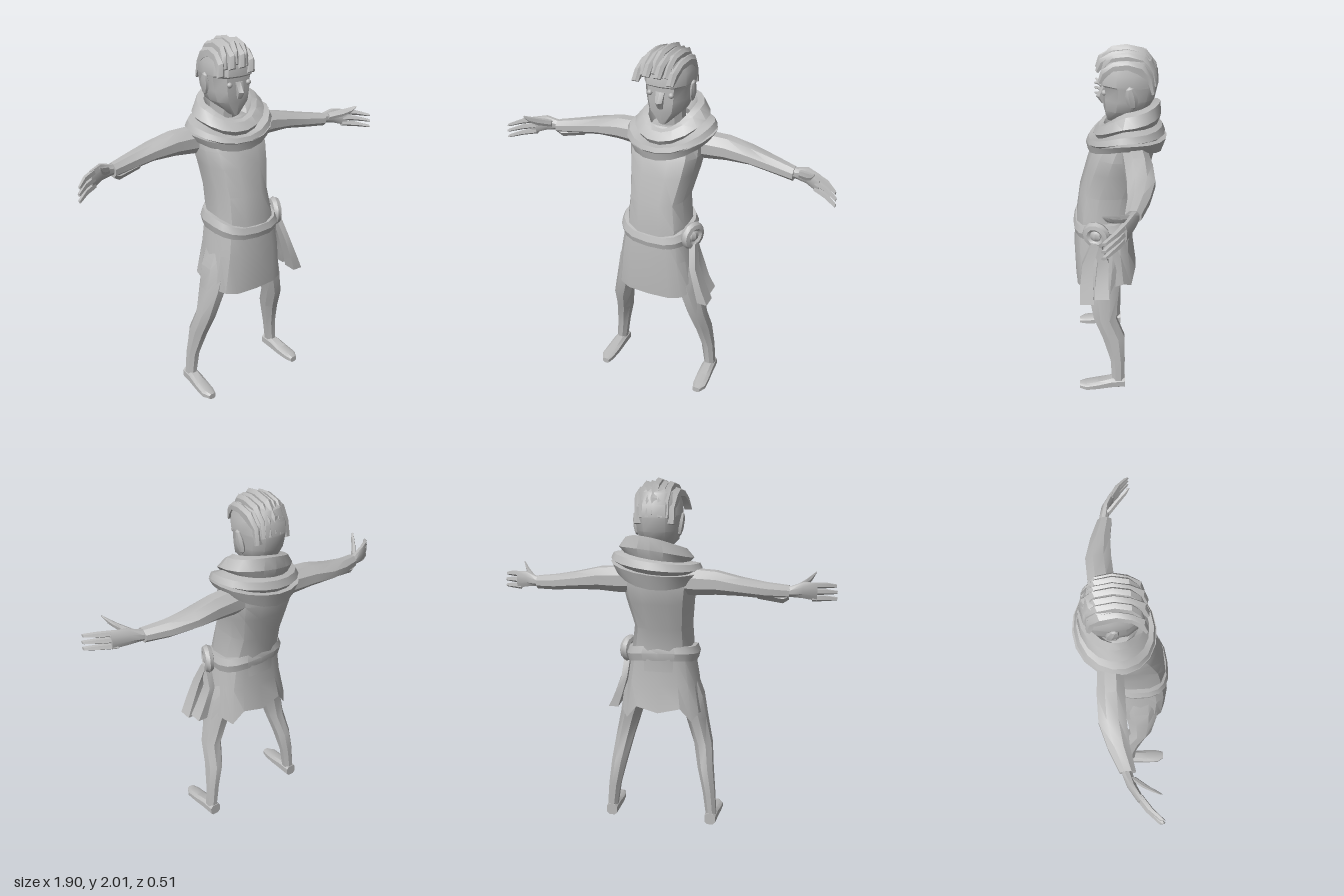
import * as THREE from 'three';
import { toCreasedNormals } from 'three/addons/utils/BufferGeometryUtils.js';

const grey = new THREE.MeshStandardMaterial({ color: 0xbababa, side: THREE.DoubleSide });
grey.name = 'plain grey';

// Skin a list of rings (arrays of Vector3) with optional end caps, facing outward
function skin(rings, caps = true, crease = 0.6) {
  const n = rings[0].length, pts = rings.flat(), tris = [];
  for (let r = 0; r < rings.length - 1; r++) {
    for (let i = 0; i < n; i++) {
      const j = (i + 1) % n, a = r * n, b = a + n;
      tris.push([a + i, a + j, b + j], [a + i, b + j, b + i]);
    }
  }
  if (caps) {
    const mid = ring => ring.reduce((s, p) => s.add(p), new THREE.Vector3()).divideScalar(n);
    const last = (rings.length - 1) * n, c0 = pts.push(mid(rings[0])) - 1, c1 = pts.push(mid(rings.at(-1))) - 1;
    for (let i = 0; i < n; i++) {
      const j = (i + 1) % n;
      tris.push([c0, j, i], [c1, last + i, last + j]);
    }
  }
  const centre = pts.reduce((s, p) => s.add(p), new THREE.Vector3()).divideScalar(pts.length);
  const rel = pts.map(p => p.clone().sub(centre));
  const volume = tris.reduce((v, [a, b, c]) => v + rel[a].dot(rel[b].clone().cross(rel[c])), 0);
  const order = volume < 0 ? tris.map(([a, b, c]) => [a, c, b]) : tris;
  const geo = new THREE.BufferGeometry().setFromPoints(order.flat().map(i => pts[i]));
  return toCreasedNormals(geo, crease);
}

// Limb-like solid: rows of [x, y, z, radiusA, radiusB] in planes across the given axis
function limb(rows, n, axis, power = 1, crease = 0.6) {
  const rings = rows.map(([x, y, z, a, b]) => Array.from({ length: n }, (_, i) => {
    const t = (i + 0.5) / n * Math.PI * 2, c = Math.cos(t), s = Math.sin(t);
    const u = a * Math.sign(c) * Math.abs(c) ** power, v = b * Math.sign(s) * Math.abs(s) ** power;
    if (axis === 'x') return new THREE.Vector3(x, y + u, z + v);
    if (axis === 'y') return new THREE.Vector3(x + u, y, z + v);
    return new THREE.Vector3(x + u, y + v, z);
  }));
  return skin(rings, true, crease);
}

// Cloth hoop: rows of [radiusX, zFront, zBack, y, dropFront, dropBack]
function hoop(rows, n, tilt, cx, power = 1) {
  const rings = rows.map(([rx, zf, zb, y, df, db]) => Array.from({ length: n }, (_, i) => {
    const t = i / n * Math.PI * 2, c = Math.cos(t), s = Math.sin(t);
    const drop = (c > 0 ? df : db) * Math.abs(c) ** 1.5;
    return new THREE.Vector3(cx + rx * Math.sign(s) * Math.abs(s) ** power, y - drop + tilt * s,
      (zf + zb) / 2 + (zf - zb) / 2 * Math.sign(c) * Math.abs(c) ** power);
  }));
  return skin(rings, false, 0.5);
}

export function createModel() {
  const model = new THREE.Group();
  model.name = 'figure';
  const add = (name, geo, parent = model) => {
    const mesh = new THREE.Mesh(geo, grey);
    mesh.name = name;
    parent.add(mesh);
    return mesh;
  };

  // Head from a shield-shaped outline: rows of [y, halfWidth, zFront, zBack]
  const half = [[0, 1], [0.6, 0.965], [0.96, 0.74], [1, 0.45], [0.88, 0.2], [0.5, 0.04], [0, 0]];
  const outline = [...half, ...half.slice(1, -1).reverse().map(([u, v]) => [-u, v])];
  add('head', skin([
    [1.605, 0.02, 0.055, -0.06], [1.68, 0.1, 0.073, -0.16], [1.74, 0.115, 0.076, -0.195],
    [1.812, 0.122, 0.076, -0.21], [1.822, 0.124, 0.09, -0.21], [1.88, 0.12, 0.085, -0.205],
    [1.94, 0.1, 0.06, -0.175], [1.97, 0.055, 0.01, -0.12],
  ].map(([y, w, f, b]) => outline.map(([u, v]) => new THREE.Vector3(u * w, y, b + (f - b) * v)))));
  add('neck', limb([[0, 1.48, -0.08, 0.08, 0.08], [0, 1.7, -0.06, 0.075, 0.08]], 10, 'y'));
  add('nose', limb([[0, 1.79, 0.07, 0.028, 0.012], [0, 1.738, 0.08, 0.022, 0.033],
    [0, 1.7, 0.07, 0.016, 0.015]], 6, 'y'));
  for (const s of [-1, 1]) {
    const eye = add('eye', new THREE.SphereGeometry(0.015, 10, 6));
    eye.position.set(s * 0.06, 1.778, 0.07);
    const ear = add('ear', toCreasedNormals(new THREE.SphereGeometry(1, 7, 5), 0.6));
    ear.scale.set(0.016, 0.065, 0.032);
    ear.position.set(s * 0.122, 1.77, -0.065);
    ear.rotation.set(0.2, 0, -s * 0.12);
  }

  // Swept hair locks running from forehead to nape
  const sweep = [[1.875, 0.108, 0.01], [1.925, 0.085, 0.017], [1.965, 0.03, 0.02], [1.976, -0.05, 0.022],
    [1.955, -0.125, 0.022], [1.9, -0.18, 0.02], [1.82, -0.2, 0.012]];
  for (let k = 0; k < 7; k++) {
    const x = (k - 3) * 0.032, fall = 4.2 * x * x, alt = k % 2 * 0.01;
    add('hairLock', skin(sweep.map(([y, z, r], i) => {
      const lean = i < 3 ? -0.012 * (3 - i) : 0, zz = z * (1 - 12 * x * x) - alt * (i < 2 ? 2 : 0);
      const cx = x * (i > 4 ? 0.9 : 1) + lean, cy = y - fall + alt;
      const ny = i < 1 ? 0.5 : i < 5 ? 1 : 0.3, nz = i < 2 ? 0.7 : i > 3 ? -0.8 : 0;
      return [[-1, -1], [-0.8, 0.5], [0.3, 1], [1, 0.2], [1, -1]].map(([u, v]) =>
        new THREE.Vector3(cx + u * 0.021, cy + v * r * ny, zz + v * r * nz));
    }), true, 0.5));
  }

  // Folded cowl around the neck
  add('cowl', hoop([
    [0.1, 0.05, -0.14, 1.6, 0.06, -0.03], [0.13, 0.075, -0.18, 1.68, 0.09, -0.03],
    [0.165, 0.1, -0.22, 1.67, 0.09, -0.045], [0.205, 0.13, -0.227, 1.62, 0.08, -0.03],
    [0.185, 0.115, -0.21, 1.6, 0.085, 0], [0.235, 0.155, -0.235, 1.59, 0.075, 0],
    [0.25, 0.165, -0.25, 1.56, 0.07, 0.01], [0.215, 0.14, -0.23, 1.545, 0.075, 0.02],
    [0.25, 0.17, -0.26, 1.545, 0.055, 0.02], [0.225, 0.16, -0.235, 1.505, 0.06, 0.06],
    [0.15, 0.09, -0.17, 1.5, 0.03, 0.04],
  ], 18, 0.025, 0.015));

  // Tunic body, leaning back toward the shoulders
  add('tunic', limb([
    [0, 0.95, 0.075, 0.18, 0.165], [0, 1.06, 0.07, 0.175, 0.162], [-0.008, 1.2, 0.045, 0.16, 0.167],
    [0, 1.35, 0, 0.185, 0.17], [0, 1.44, -0.025, 0.2, 0.166], [0, 1.53, -0.05, 0.195, 0.14],
    [0, 1.58, -0.06, 0.11, 0.09],
  ], 12, 'y', 0.75));

  // Skirt with an uneven hem that is longest in front and at the tails
  const hem = [0.64, 0.64, 0.645, 0.66, 0.67, 0.69, 0.66, 0.74, 0.71, 0.74, 0.66, 0.7, 0.68, 0.665, 0.65, 0.64];
  const skirtRing = (rx, zf, zb, height) => hem.map((h, i) => {
    const t = i / hem.length * Math.PI * 2, c = Math.cos(t), s = Math.sin(t);
    return new THREE.Vector3(rx * Math.sign(s) * Math.abs(s) ** 0.65, height ?? h,
      (zf + zb) / 2 + (zf - zb) / 2 * Math.sign(c) * Math.abs(c) ** 0.65);
  });
  add('skirt', skin([skirtRing(0.18, 0.235, -0.085, 1.02), skirtRing(0.205, 0.25, -0.085, 0.87),
    skirtRing(0.235, 0.245, -0.105)], false, 0.5));

  // Belt, higher at the back
  add('belt', hoop([
    [0.165, 0.22, -0.07, 1.07, 0.04, -0.03], [0.195, 0.24, -0.09, 1.07, 0.045, -0.03],
    [0.21, 0.252, -0.1, 1.03, 0.04, -0.03], [0.2, 0.245, -0.09, 0.985, 0.025, -0.03],
    [0.165, 0.22, -0.07, 0.985, 0.025, -0.03],
  ], 18, -0.01, 0, 0.75));

  // Round belt knot and hanging sash ends on the left hip
  const knot = new THREE.Group();
  knot.name = 'beltKnot';
  knot.position.set(0.215, 1.02, 0.125);
  knot.quaternion.setFromUnitVectors(new THREE.Vector3(0, 0, 1), new THREE.Vector3(0.93, 0, 0.37).normalize());
  model.add(knot);
  add('knotRing', toCreasedNormals(new THREE.TorusGeometry(0.053, 0.027, 7, 12), 0.6), knot);
  const core = add('knotCore', toCreasedNormals(new THREE.SphereGeometry(0.04, 8, 6), 0.6), knot);
  core.scale.z = 0.7;
  for (const [dx, z, y] of [[0, 0.185, 0.65], [-0.015, 0.1, 0.67]]) {
    add('sashEnd', limb([[0.225, 0.98, 0.13, 0.02, 0.025], [0.25 + dx, 0.86, z - 0.01, 0.02, 0.035],
      [0.29 + dx, 0.74, z, 0.025, 0.042], [0.32 + dx, y, z, 0.033, 0.045]], 4, 'y', 0.4));
  }

  for (const s of [-1, 1]) {
    const m = rows => rows.map(([x, ...rest]) => [s * x, ...rest]);
    const side = s > 0 ? 'left' : 'right';

    // Sleeve, with a drooping cuff on the right arm
    add(side + 'Sleeve', limb(m([
      [0.12, 1.475, -0.08, 0.075, 0.08], [0.2, 1.47, -0.085, 0.075, 0.072], [0.32, 1.472, -0.092, 0.066, 0.076],
      [0.45, 1.457, -0.095, 0.05, 0.075], [0.58, 1.437, -0.075, 0.044, 0.058], [0.7, 1.425, -0.042, 0.038, 0.042],
    ]), 8, 'x'));
    if (s < 0) add('cuffDroop', limb(m([[0.54, 1.42, -0.075, 0.03, 0.045], [0.67, 1.395, -0.05, 0.03, 0.035],
      [0.7, 1.405, -0.045, 0.02, 0.03]]), 6, 'x'));

    // Hand: palm, three fingers and a raised thumb
    add(side + 'Palm', limb(m([[0.66, 1.428, -0.05, 0.03, 0.03], [0.71, 1.43, -0.045, 0.03, 0.027],
      [0.77, 1.437, -0.03, 0.045, 0.024], [0.845, 1.423, 0.01, 0.052, 0.018]]), 8, 'x'));
    for (let f = 0; f < 3; f++) {
      const y = 1.458 - f * 0.035;
      add(side + 'Finger', limb(m([[0.82, y, 0, 0.017, 0.018], [0.89, y - 0.005, 0.045, 0.016, 0.018],
        [0.952 - (f === 0 ? 0.006 : 0), y - 0.017, 0.1, 0.009, 0.014]]), 5, 'x'));
    }
    add(side + 'Thumb', limb(m([[0.73, 1.44, -0.025, 0.02, 0.02], [0.785, 1.465, 0.035, 0.022, 0.018],
      [0.815, 1.488, 0.075, 0.017, 0.015], [0.835, 1.512, 0.1, 0.005, 0.007]]), 6, 'x'));

    // Leg and foot
    add(side + 'Leg', limb(m([
      [0.1, 0.93, 0.08, 0.085, 0.12], [0.155, 0.78, 0.085, 0.085, 0.11], [0.195, 0.65, 0.09, 0.065, 0.095],
      [0.238, 0.48, 0.085, 0.056, 0.068], [0.26, 0.35, 0.035, 0.048, 0.068], [0.286, 0.2, 0.013, 0.038, 0.045],
      [0.302, 0.05, 0.01, 0.032, 0.04],
    ]), 8, 'y'));
    add(side + 'Foot', limb(m([
      [0.3, 0.036, -0.03, 0.034, 0.036], [0.302, 0.037, 0.05, 0.038, 0.037], [0.306, 0.028, 0.13, 0.041, 0.028],
      [0.31, 0.023, 0.2, 0.04, 0.023], [0.305, 0.02, 0.24, 0.022, 0.018],
    ]), 8, 'z', 0.7));
  }
  return model;
}
